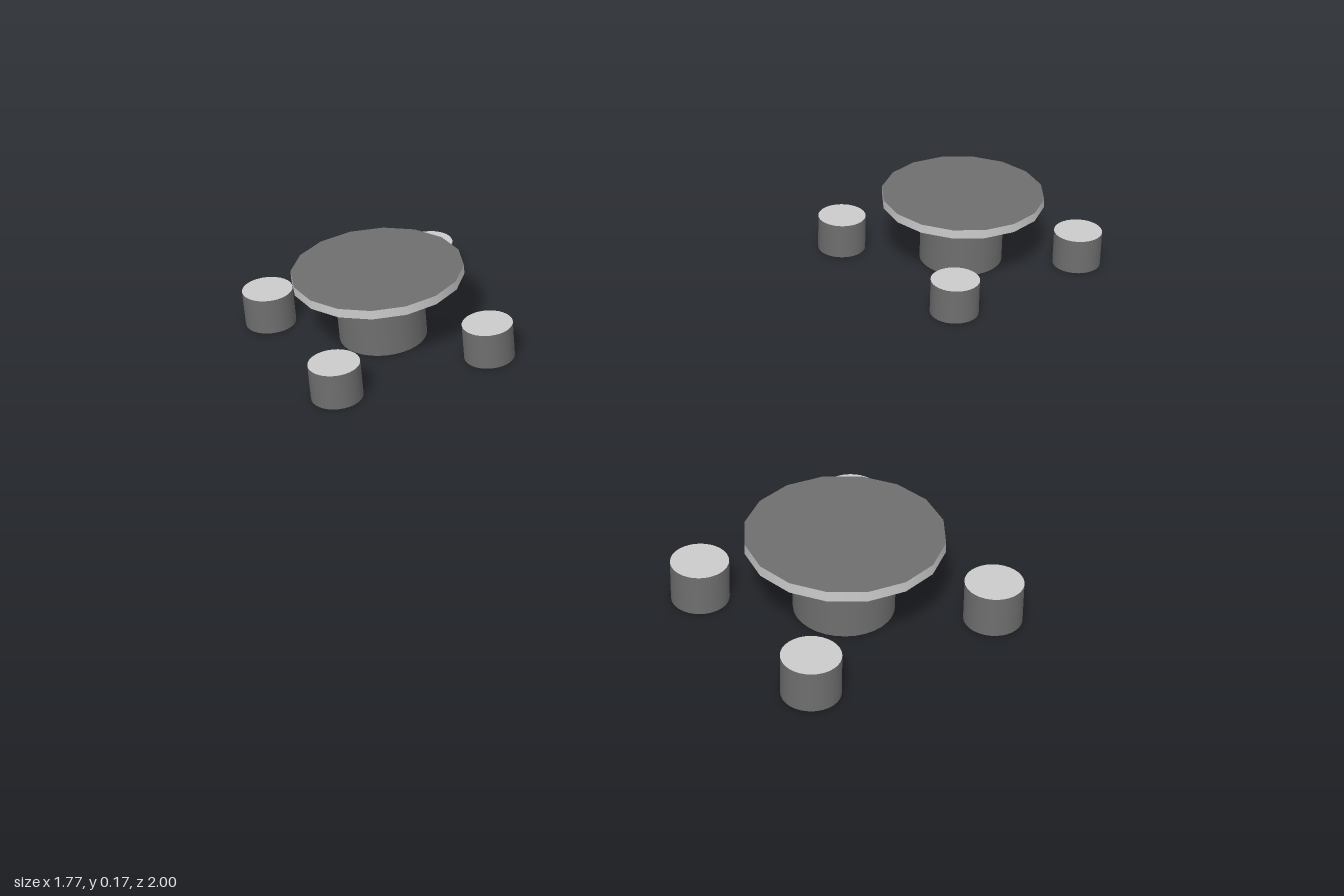
import * as THREE from 'three';

const light = new THREE.MeshStandardMaterial({ color: 0xcccccc });
const dark = new THREE.MeshStandardMaterial({ color: 0x6e6e6e });

// Upright cylinder standing on y; materials are [side, top, bottom]
function disc(name, radius, y, height, sides, materials) {
  const geometry = new THREE.CylinderGeometry(radius, radius, height, sides);
  geometry.translate(0, y + height / 2, 0);
  const mesh = new THREE.Mesh(geometry, materials);
  mesh.name = name;
  return mesh;
}

// Table centre, turn of its top, and stool positions around it [x, z]
const sets = [
  { x: -0.58, z: -0.717, turn: 0.06,
    stools: [[-0.722, -0.944], [-0.333, -0.857], [-0.812, -0.579], [-0.476, -0.473]] },
  { x: 0.595, z: -0.027, turn: Math.PI / 16,
    stools: [[0.434, -0.261], [0.831, -0.158], [0.386, 0.135], [0.762, 0.188]] },
  { x: -0.6, z: 0.715, turn: Math.PI / 16,
    stools: [[-0.77, 0.5], [-0.397, 0.543], [-0.831, 0.85], [-0.434, 0.943]] },
];

export function createModel() {
  const model = new THREE.Group();
  model.name = 'tablesWithStools';

  for (const { x, z, turn, stools } of sets) {
    const set = new THREE.Group();
    set.name = 'tableSet';
    set.position.set(x, 0, z);

    // Pedestal and thin round top with a light rim
    const top = disc('tableTop', 0.19, 0.147, 0.021, 16, [light, dark, dark]);
    top.rotation.y = turn;
    set.add(disc('pedestal', 0.097, 0, 0.147, 32, [dark, dark, dark]), top);

    // Four drum stools with light seats
    for (const [sx, sz] of stools) {
      const stool = disc('stool', 0.056, 0, 0.083, 32, [dark, light, dark]);
      stool.position.set(sx - x, 0, sz - z);
      set.add(stool);
    }
    model.add(set);
  }
  return model;
}
